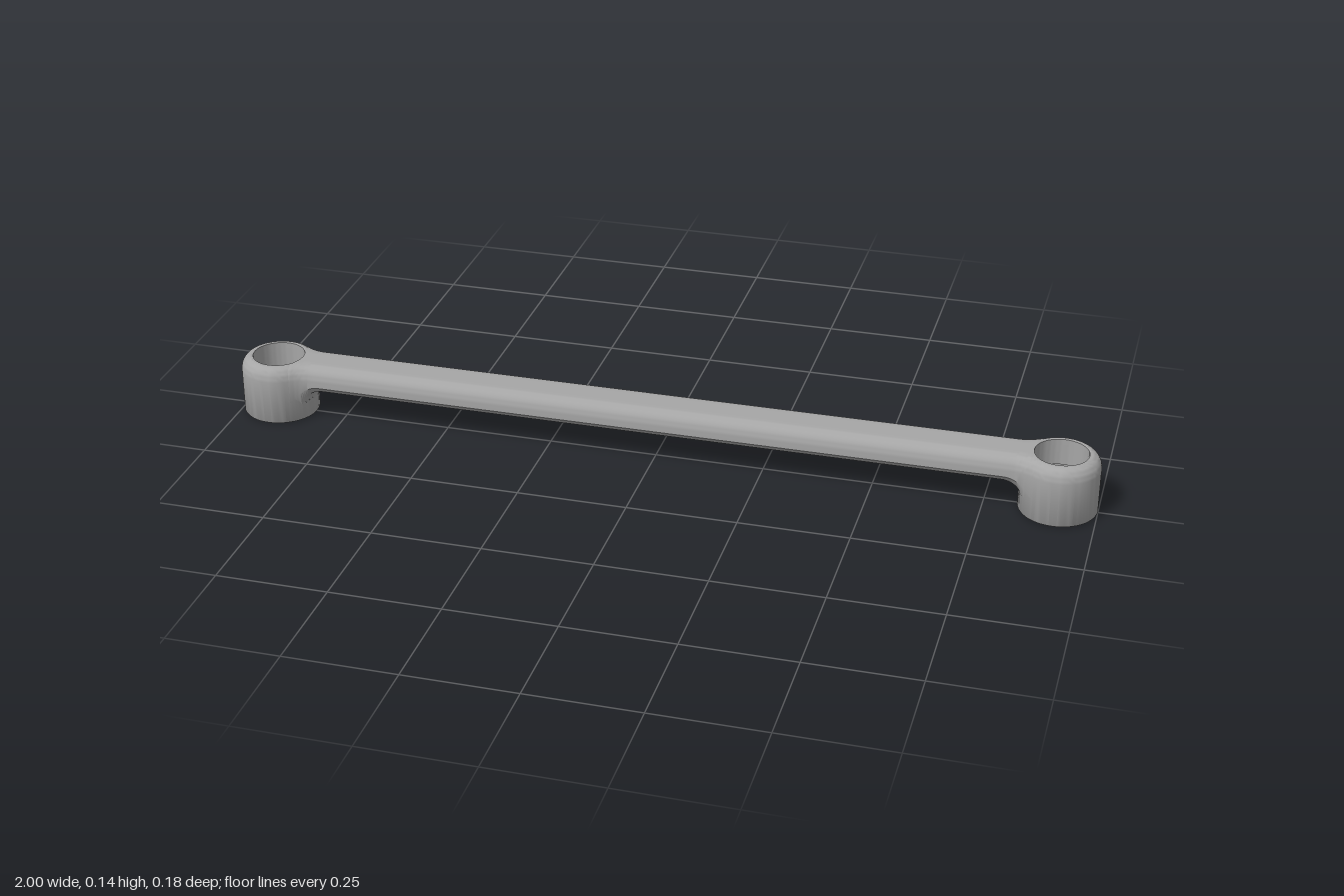
import * as THREE from 'three';
import { toCreasedNormals } from 'three/addons/utils/BufferGeometryUtils.js';

const RING_X = 0.912, RING_R = 0.088, TOP = 0.138, HALF = 0.057;
const BAR_Y = 0.077, FILLET = 0.042, FLARE = 0.09;

// x where the plan fillet leaves the straight bar, and where it meets the ring
const flareX = RING_X - Math.sqrt((RING_R + FLARE) ** 2 - (HALF + FLARE) ** 2);
const tangentX = RING_X - (RING_X - flareX) * RING_R / (RING_R + FLARE);

function halfWidth(x) {
  const d = Math.max(0, Math.min(x, tangentX) - flareX);
  return HALF + FLARE - Math.sqrt(FLARE ** 2 - d * d);
}

// Underside height: flat, then curving down into the post
function underside(x, z) {
  const reach = RING_R + FILLET - Math.hypot(x - RING_X, z);
  const t = Math.min(FILLET, Math.max(0, reach));
  return BAR_Y - FILLET + Math.sqrt(FILLET ** 2 - t * t);
}

// Cross-section loop of the bar at a station x, as [x, y, z] points
function section(x) {
  const ax = Math.abs(x), w = halfWidth(ax), half = [];
  for (const f of [0, 0.2, 0.4, 0.6, 0.8]) half.push([underside(ax, f * w), f * w]);
  half.push([underside(ax, w) + 0.013, w]);
  half.push([TOP - 0.033, w]);
  for (let i = 1; i <= 8; i++) {
    const a = i / 8 * Math.PI / 2;
    half.push([TOP - 0.033 * (1 - Math.sin(a)), w - 0.028 * (1 - Math.cos(a))]);
  }
  for (const f of [0.6, 0.3, 0]) half.push([TOP, f * (w - 0.028)]);
  const mirrored = half.slice(1, -1).reverse().map(([y, z]) => [y, -z]);
  return [...half, ...mirrored].map(([y, z]) => {
    // stop inside the ring wall so the bore stays clear
    const r = y > 0.082 ? 0.0605 : 0.081;
    const limit = RING_X - Math.sqrt(Math.max(0, r * r - z * z));
    return [Math.sign(x) * Math.min(ax, limit), y, z];
  });
}

function barGeometry() {
  const right = [0.3, 0.6, 0.75];
  for (let i = 0; i <= 24; i++) right.push(0.77 + (tangentX + 0.002 - 0.77) * i / 24);
  const stations = [...right.map(x => -x).reverse(), 0, ...right];
  const rows = stations.map(section), n = rows[0].length, index = [];
  for (let i = 0; i < rows.length - 1; i++) {
    for (let j = 0; j < n; j++) {
      const a = i * n + j, d = i * n + (j + 1) % n;
      index.push(a, a + n, d + n, a, d + n, d);
    }
  }
  const g = new THREE.BufferGeometry();
  g.setAttribute('position', new THREE.Float32BufferAttribute(rows.flat(2), 3));
  g.setIndex(index);
  return toCreasedNormals(g, 0.6);
}

// Hollow post: wide counterbore below, narrower bore above, rounded shoulder
function postGeometry() {
  const p = [[0.075, 0], [0.086, 0], [RING_R, 0.003], [RING_R, TOP - 0.033]];
  for (let i = 1; i <= 8; i++) {
    const a = i / 8 * Math.PI / 2;
    p.push([RING_R - 0.026 * (1 - Math.cos(a)), TOP - 0.033 * (1 - Math.sin(a))]);
  }
  p.push([0.06, TOP - 0.001], [0.06, 0.075], [0.075, 0.075], [0.075, 0]);
  const g = new THREE.LatheGeometry(p.map(([x, y]) => new THREE.Vector2(x, y)), 64);
  return toCreasedNormals(g, 0.6);
}

export function createModel() {
  const model = new THREE.Group();
  model.name = 'barHandle';
  const metal = new THREE.MeshStandardMaterial({ color: 0xa6a6a6 });
  metal.name = 'grey metal';

  const bar = new THREE.Mesh(barGeometry(), metal);
  bar.name = 'bar';
  model.add(bar);

  const post = postGeometry();
  for (const side of [-1, 1]) {
    const mesh = new THREE.Mesh(post, metal);
    mesh.name = side > 0 ? 'leftPost' : 'rightPost';
    mesh.position.x = side * RING_X;
    model.add(mesh);
  }
  return model;
}
